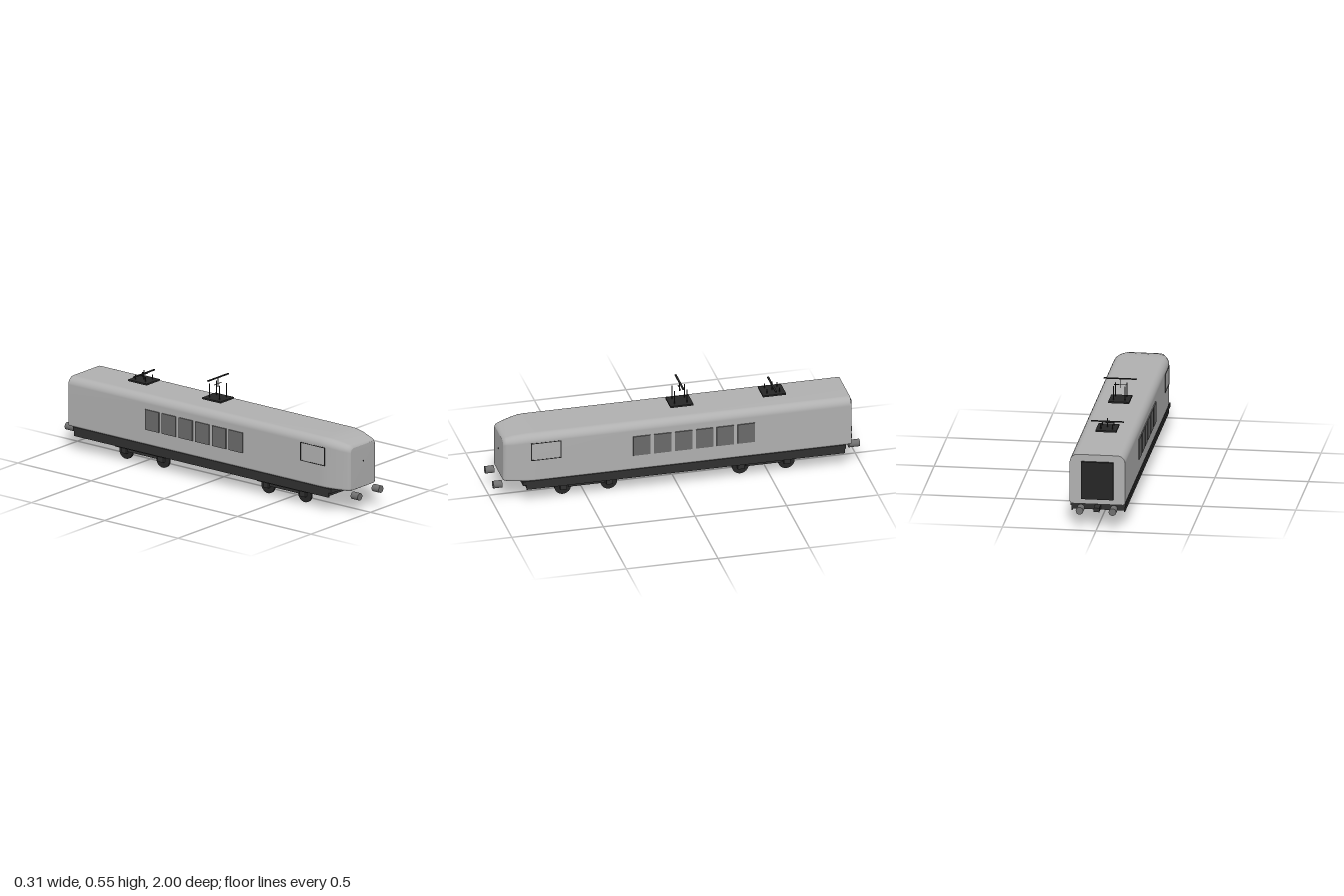
import * as THREE from 'three';

const mat = (name, color, side = THREE.FrontSide) => {
  const m = new THREE.MeshStandardMaterial({ color, side });
  m.name = name;
  return m;
};

export function createModel() {
  const root = new THREE.Group();
  root.name = 'railcar';
  const paint = mat('light grey paint', 0xb0b0b0);
  const glass = mat('window grey', 0x6a6a6a);
  const steel = mat('buffer grey', 0x707070);
  const dark = mat('underframe dark grey', 0x303030);
  const black = mat('near black', 0x262626);

  const add = (parent, name, geo, material, x = 0, y = 0, z = 0) => {
    const m = new THREE.Mesh(geo, material);
    m.name = name;
    m.position.set(x, y, z);
    parent.add(m);
    return m;
  };
  // box given by its min/max on each axis
  const box = (parent, name, material, x0, x1, y0, y1, z0, z1) =>
    add(parent, name, new THREE.BoxGeometry(x1 - x0, y1 - y0, z1 - z0), material,
      (x0 + x1) / 2, (y0 + y1) / 2, (z0 + z1) / 2);
  const cyl = (parent, name, material, r, len, axis, x, y, z, seg = 24) => {
    const g = new THREE.CylinderGeometry(r, r, len, seg);
    if (axis === 'x') g.rotateZ(Math.PI / 2);
    if (axis === 'z') g.rotateX(Math.PI / 2);
    return add(parent, name, g, material, x, y, z);
  };

  // Body shell: rounded cross-sections lofted along z
  const ring = (w, top, rTop, z, bottom = 0.13) => {
    const pts = [];
    const rb = 0.014, n = 8;
    const corners = [[w - rb, bottom + rb, rb, -90], [w - rTop, top - rTop, rTop, 0],
      [-w + rTop, top - rTop, rTop, 90], [-w + rb, bottom + rb, rb, 180]];
    for (const [cx, cy, r, a0] of corners)
      for (let i = 0; i <= n; i++) {
        const a = THREE.MathUtils.degToRad(a0 + 90 * i / n);
        pts.push([cx + r * Math.cos(a), cy + r * Math.sin(a), z]);
      }
    return pts;
  };
  const rings = [
    ring(0.148, 0.403, 0.042, -0.942), ring(0.148, 0.403, 0.042, 0.3),
    ring(0.148, 0.403, 0.042, 0.77), ring(0.146, 0.402, 0.042, 0.81),
    ring(0.139, 0.397, 0.042, 0.85), ring(0.127, 0.388, 0.04, 0.895),
    ring(0.116, 0.379, 0.034, 0.93), ring(0.109, 0.372, 0.03, 0.942),
    ring(0.1, 0.364, 0.026, 0.947, 0.133),
  ];
  const n = rings[0].length;
  const pos = rings.flat(2), index = [];
  for (let i = 0; i < rings.length - 1; i++)
    for (let j = 0; j < n; j++) {
      const k = (j + 1) % n, a = i * n + j, b = i * n + k, c = b + n, d = a + n;
      index.push(a, b, d, b, c, d);
    }
  const cap = (r, z, flip) => {
    const start = pos.length / 3;
    pos.push(...r.flat(), 0, 0.26, z);
    for (let j = 0; j < n; j++) {
      const a = start + j, b = start + (j + 1) % n;
      index.push(start + n, flip ? b : a, flip ? a : b);
    }
  };
  cap(rings[rings.length - 1], 0.949, false);
  cap(rings[0], -0.942, true);
  const shell = new THREE.BufferGeometry();
  shell.setAttribute('position', new THREE.Float32BufferAttribute(pos, 3));
  shell.setIndex(index);
  shell.computeVertexNormals();
  add(root, 'bodyShell', shell, paint);
  cyl(root, 'noseLamp', black, 0.004, 0.006, 'z', 0.003, 0.275, 0.948, 12);

  // Side windows and cab window outlines
  for (const s of [-1, 1]) {
    for (let i = 0; i < 6; i++)
      add(root, 'sideWindow', new THREE.BoxGeometry(0.008, 0.112, 0.094), glass,
        s * 0.15, 0.273, 0.203 - i * 0.1142);
    const frame = new THREE.Group();
    frame.name = 'cabWindowOutline';
    root.add(frame);
    for (const y of [0.255, 0.354])
      add(frame, 'outlineRail', new THREE.BoxGeometry(0.004, 0.004, 0.165), black, s * 0.1472, y, 0.724);
    for (const z of [0.643, 0.805])
      add(frame, 'outlinePost', new THREE.BoxGeometry(0.004, 0.1, 0.004), black, s * 0.1472, 0.305, z);
  }

  // Rear gangway door
  box(root, 'rearDoor', black, -0.086, 0.086, 0.16, 0.366, -0.958, -0.94);

  // Underframe and side skirts
  box(root, 'underframe', dark, -0.147, 0.147, 0.11, 0.133, -0.912, 0.85);
  box(root, 'floorPan', dark, -0.138, 0.138, 0.09, 0.112, -0.908, 0.83);
  for (const s of [-1, 1])
    add(root, 'sideSkirt', new THREE.BoxGeometry(0.006, 0.03, 1.738), dark, s * 0.14, 0.097, -0.039);

  // Buffers and rear coupler
  for (const s of [-1, 1]) {
    cyl(root, 'frontBuffer', steel, 0.02, 0.048, 'z', s * 0.088, 0.107, 0.976);
    cyl(root, 'rearBuffer', steel, 0.02, 0.06, 'z', s * 0.088, 0.107, -0.97);
  }
  box(root, 'rearCoupler', dark, -0.015, 0.015, 0.098, 0.12, -0.98, -0.9);

  // Bogies
  const makeBogie = z => {
    const g = new THREE.Group();
    g.name = 'bogie';
    g.position.z = z;
    root.add(g);
    box(g, 'bolster', dark, -0.113, 0.113, 0.067, 0.092, -0.05, 0.05);
    box(g, 'centrePivot', dark, -0.025, 0.025, 0.05, 0.09, -0.03, 0.03);
    for (const e of [-1, 1])
      add(g, 'endBeam', new THREE.BoxGeometry(0.226, 0.02, 0.02), dark, 0, 0.077, e * 0.162);
    for (const s of [-1, 1]) {
      add(g, 'sideRail', new THREE.BoxGeometry(0.022, 0.02, 0.344), dark, s * 0.102, 0.077, 0);
      add(g, 'lowerRail', new THREE.BoxGeometry(0.012, 0.016, 0.2), dark, s * 0.09, 0.055, 0);
    }
    for (const e of [-1, 1]) {
      cyl(g, 'axle', dark, 0.007, 0.19, 'x', 0, 0.045, e * 0.126, 12);
      for (const s of [-1, 1]) {
        cyl(g, 'wheel', black, 0.045, 0.011, 'x', s * 0.074, 0.045, e * 0.126, 32);
        add(g, 'axleBox', new THREE.BoxGeometry(0.018, 0.034, 0.036), dark, s * 0.091, 0.052, e * 0.126);
      }
    }
  };
  [0.49, -0.479].forEach(makeBogie);

  // Roof current collectors: one raised, one lowered
  const makeCollector = (z, postTop, yokeY, headY, stemBottom, stemTop) => {
    const g = new THREE.Group();
    g.name = 'currentCollector';
    g.position.z = z;
    root.add(g);
    box(g, 'collectorBase', black, -0.056, 0.056, 0.424, 0.433, -0.063, 0.063);
    for (const sx of [-1, 1])
      for (const sz of [-1, 1])
        cyl(g, 'collectorPost', black, 0.0028, postTop - 0.42, 'y',
          sx * 0.031, (postTop + 0.42) / 2, sz * 0.034, 8);
    cyl(g, 'collectorYoke', black, 0.002, 0.064, 'x', 0, yokeY, 0, 8);
    cyl(g, 'collectorStem', black, 0.0022, stemTop - stemBottom, 'y', 0, (stemTop + stemBottom) / 2, 0, 8);
    box(g, 'collectorHead', black, -0.088, 0.088, headY - 0.0025, headY + 0.0025, -0.005, 0.005);
  };
  makeCollector(-0.041, 0.51, 0.509, 0.543, 0.49, 0.545);
  makeCollector(-0.546, 0.458, 0.459, 0.465, 0.43, 0.483);

  return root;
}
